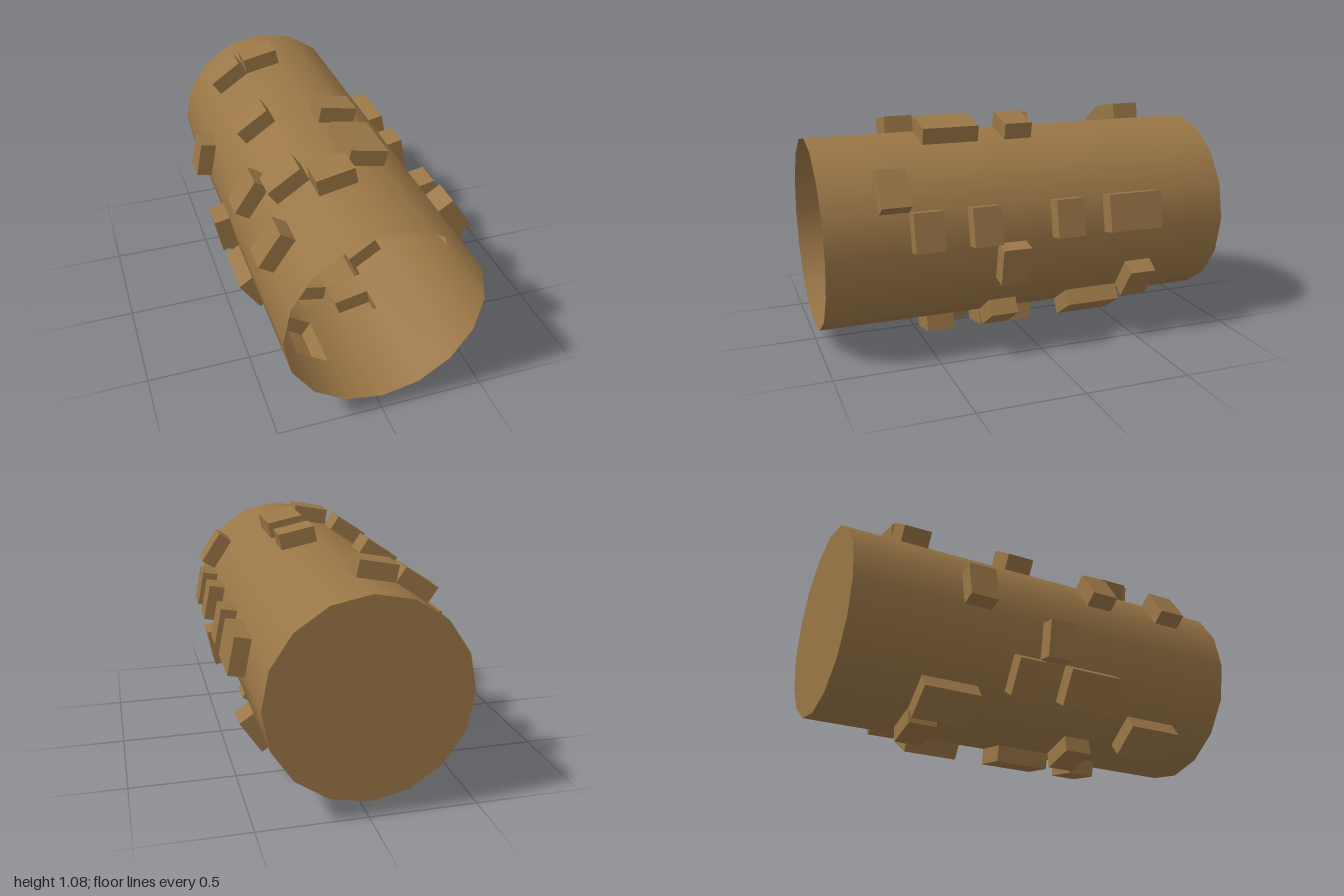
import * as THREE from 'three';

const SIDES = 16, R = 0.463, CY = 0.54, RISE = 0.079;
const ROWS = 11, Z0 = 0.75, STEP = 1.5 / ROWS;
const STEP_ANGLE = (Math.PI * 2) / SIDES;

// Pins per side panel (clockwise from the top): [first row, row count], rows run front to back
const PINS = {
  0: [[2, 2], [5, 1]],
  2: [[0, 1]],
  3: [[1, 1], [3, 1], [6, 1], [8, 2]],
  4: [[4, 1]],
  5: [[9, 1]],
  6: [[4, 1], [7, 2]],
  7: [[2, 1], [4, 2]],
  8: [[3, 1], [9, 1]],
  9: [[0, 2], [8, 2]],
  10: [[3, 2], [6, 1]],
  11: [[5, 1]],
  12: [[8, 1]],
  13: [[0, 1], [3, 1]],
  14: [[2, 1], [6, 1], [10, 1]],
  15: [[1, 1], [10, 1]],
};

const radial = (a) => new THREE.Vector3(Math.sin(a), Math.cos(a), 0);
const rowZ = (j) => Z0 - j * STEP;

// Collects quads (counter-clockwise corners) into one geometry
function quadBuilder() {
  const pos = [], nor = [];
  return {
    add(corners, normals) {
      const [a, b, c] = corners;
      const flat = b.clone().sub(a).cross(c.clone().sub(a)).normalize();
      for (const i of [0, 1, 2, 0, 2, 3]) {
        pos.push(...corners[i].toArray());
        nor.push(...(normals ? normals[i] : flat).toArray());
      }
    },
    build() {
      const g = new THREE.BufferGeometry();
      g.setAttribute('position', new THREE.Float32BufferAttribute(pos, 3));
      g.setAttribute('normal', new THREE.Float32BufferAttribute(nor, 3));
      return g;
    },
  };
}

export function createModel() {
  const group = new THREE.Group();
  const material = new THREE.MeshStandardMaterial({ color: 0x9a7646, side: THREE.DoubleSide });
  const addMesh = (name, geometry) => {
    const mesh = new THREE.Mesh(geometry, material);
    mesh.name = name;
    mesh.position.y = CY;
    group.add(mesh);
    return mesh;
  };

  const shell = quadBuilder();
  for (let k = 0; k < SIDES; k++) {
    const n0 = radial(k * STEP_ANGLE), n1 = radial((k + 1) * STEP_ANGLE);
    const lift = radial((k + 0.5) * STEP_ANGLE).multiplyScalar(RISE);
    const at = (n, z, up) => {
      const p = n.clone().multiplyScalar(R).setZ(z);
      return up ? p.add(lift) : p;
    };
    // Smooth barrel panel between two depths
    const panel = (za, zb) =>
      shell.add([at(n0, za), at(n1, za), at(n1, zb), at(n0, zb)], [n0, n1, n1, n0]);

    let z = 1;
    for (const [first, count] of PINS[k] || []) {
      const za = rowZ(first), zb = rowZ(first + count);
      panel(z, za);
      z = zb;
      // Raised pin, hollow towards the inside of the barrel
      const base = [at(n0, za), at(n1, za), at(n1, zb), at(n0, zb)];
      const top = [at(n0, za, true), at(n1, za, true), at(n1, zb, true), at(n0, zb, true)];
      const pin = quadBuilder();
      pin.add(top);
      for (let i = 0; i < 4; i++) {
        const m = (i + 1) % 4;
        pin.add([base[i], base[m], top[m], top[i]]);
      }
      addMesh('pin', pin.build());
    }
    panel(z, -1);
  }
  addMesh('barrel', shell.build());

  // Closed back end; the front stays open
  const cap = addMesh('backCap', new THREE.CircleGeometry(R, SIDES));
  cap.rotation.y = Math.PI;
  cap.position.z = -1;

  return group;
}
